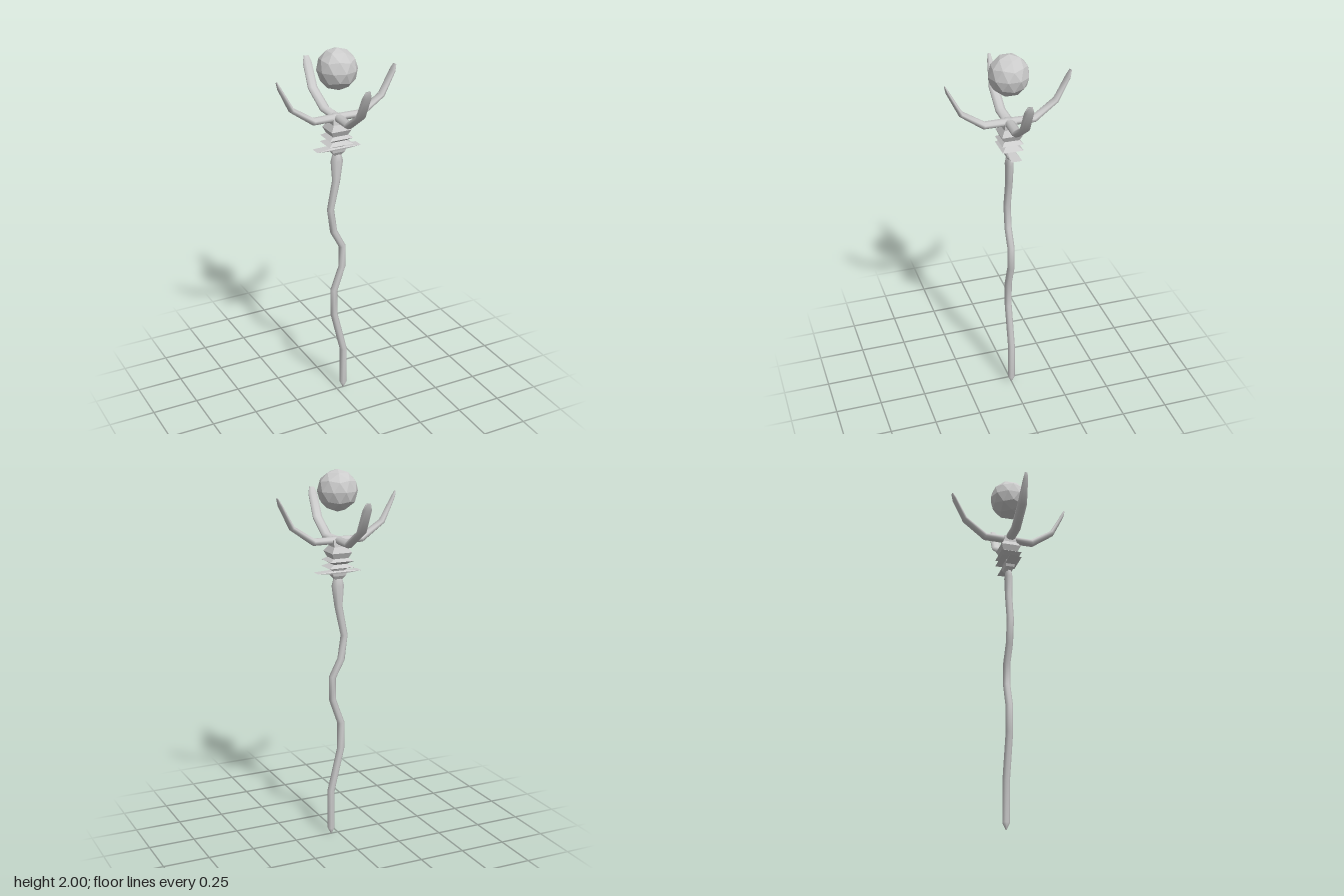
import * as THREE from 'three';

const grey = new THREE.MeshStandardMaterial({ color: 0xcccccc });
const greyFlat = new THREE.MeshStandardMaterial({ color: 0xcccccc, flatShading: true });

// Sweeps a flat-sided n-gon along stations { p, w, t }: centre, half width along
// the fixed direction `side`, and half thickness across it.
function sweep(name, stations, side, n, material) {
  const pos = [], index = [], grow = 1 / Math.cos(Math.PI / n);
  const last = stations.length - 1;
  const dir = (a, b) => stations[b].p.clone().sub(stations[a].p).normalize();
  stations.forEach(({ p, w, t }, i) => {
    const before = dir(Math.max(i - 1, 0), Math.max(i, 1));
    const after = dir(Math.min(i, last - 1), Math.min(i + 1, last));
    const tangent = before.clone().add(after).normalize();
    const across = tangent.clone().cross(side).normalize();
    const mitre = 1 / Math.max(tangent.dot(after), 0.5);
    for (let j = 0; j < n; j++) {
      const a = ((j + 0.5) / n) * Math.PI * 2;
      const v = p.clone()
        .addScaledVector(side, Math.cos(a) * w * grow)
        .addScaledVector(across, Math.sin(a) * t * grow * mitre);
      pos.push(v.x, v.y, v.z);
      if (i < last) {
        const k = (j + 1) % n, r = i * n, s = r + n;
        index.push(r + j, r + k, s + k, r + j, s + k, s + j);
      }
    }
  });
  // End caps
  for (let j = 1; j < n - 1; j++) {
    const e = last * n;
    index.push(0, j + 1, j, e, e + j, e + j + 1);
  }
  const geo = new THREE.BufferGeometry();
  geo.setAttribute('position', new THREE.Float32BufferAttribute(pos, 3));
  geo.setIndex(index);
  geo.computeVertexNormals();
  const mesh = new THREE.Mesh(geo, material);
  mesh.name = name;
  return mesh;
}

export function createModel() {
  const model = new THREE.Group();
  model.name = 'staff';
  const X = new THREE.Vector3(1, 0, 0), Z = new THREE.Vector3(0, 0, 1);

  // Crooked shaft: x, y, half depth, half width
  const shaft = [
    [0.04, 0, 0.002, 0.002], [0.04, 0.035, 0.018, 0.018], [0.04, 0.255, 0.018, 0.018],
    [-0.018, 0.495, 0.018, 0.018], [-0.018, 0.64, 0.018, 0.018], [0.031, 0.775, 0.018, 0.017],
    [0.031, 0.9, 0.018, 0.017], [-0.019, 0.995, 0.018, 0.018], [-0.037, 1.125, 0.018, 0.017],
    [-0.004, 1.285, 0.018, 0.02], [0, 1.395, 0.02, 0.032], [0, 1.45, 0.012, 0.019],
  ].map(([x, y, w, t]) => ({ p: new THREE.Vector3(x, y, 0), w, t }));
  model.add(sweep('shaft', shaft, Z, 8, grey));

  // Square-section collar with pointed fins: y, half width, half depth
  const collar = [
    [1.43, 0.018, 0.012], [1.45, 0.035, 0.024], [1.464, 0.04, 0.026], [1.471, 0.125, 0.028],
    [1.478, 0.035, 0.02], [1.488, 0.035, 0.025], [1.497, 0.07, 0.055], [1.513, 0.035, 0.03],
    [1.53, 0.066, 0.056], [1.545, 0.042, 0.04], [1.575, 0.056, 0.055], [1.605, 0.036, 0.036],
    [1.64, 0.036, 0.03],
  ].map(([y, w, t]) => ({ p: new THREE.Vector3(0, y, 0), w, t }));
  model.add(sweep('collar', collar, X, 4, greyFlat));

  // Four upswept prongs: distance out, y, half width, half thickness
  const prong = [
    [-0.02, 1.635, 0.025, 0.018], [0.135, 1.634, 0.025, 0.017], [0.255, 1.715, 0.025, 0.013],
    [0.318, 1.835, 0.024, 0.009], [0.331, 1.868, 0.013, 0.004],
  ];
  const prongs = [
    { name: 'leftProng', out: [1, 0], shift: 0.003, bend: 0, tip: 1 },
    { name: 'rightProng', out: [-1, 0], shift: 0.003, bend: 0, tip: 0.55 },
    { name: 'frontProng', out: [0, 1], shift: 0, bend: 0, tip: 1 },
    { name: 'backProng', out: [0, -1], shift: 0, bend: -0.011, tip: 1 },
  ];
  for (const { name, out: [ox, oz], shift, bend, tip } of prongs) {
    const side = ox ? Z : X;
    const reach = ox ? 1 : 0.985;
    const stations = prong.map(([d, y, w, t], i) => ({
      p: new THREE.Vector3(ox * d * reach, y, oz * d * reach)
        .addScaledVector(side, shift + (i > 1 ? bend : 0)),
      w: i > 2 ? w * tip : w,
      t,
    }));
    model.add(sweep(name, stations, side, 8, grey));
  }

  // Faceted orb floating between the prongs, one vertex straight up
  const orbGeo = new THREE.IcosahedronGeometry(0.109, 1);
  orbGeo.rotateZ(Math.atan2(2, 1 + Math.sqrt(5)));
  orbGeo.rotateY(Math.PI);
  const orb = new THREE.Mesh(orbGeo, greyFlat);
  orb.name = 'orb';
  orb.scale.set(0.97, 1, 0.97);
  orb.position.set(0, 1.891, 0.003);
  model.add(orb);

  return model;
}
